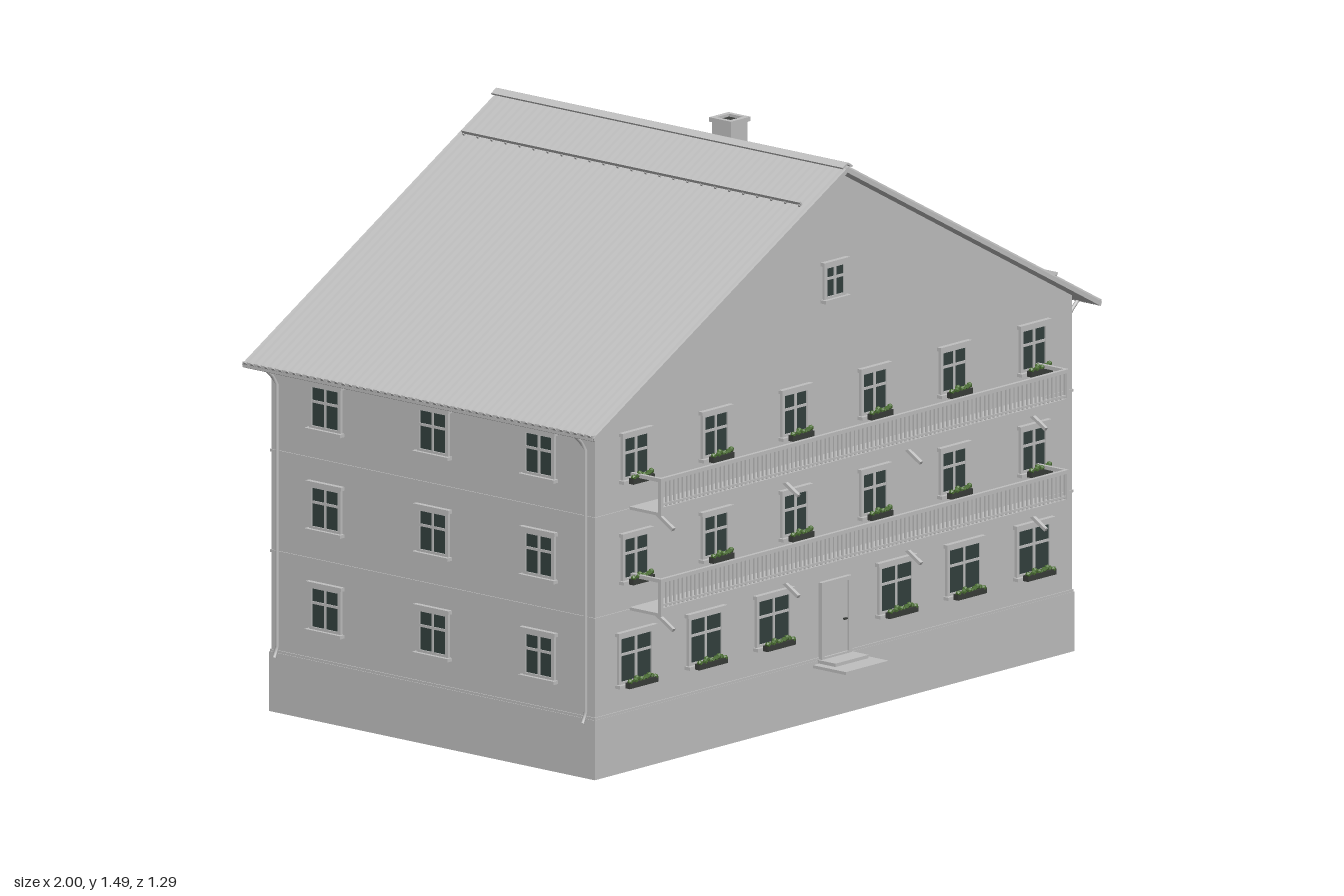
import * as THREE from 'three';

const mat = (name, color, side = THREE.FrontSide) => {
  const m = new THREE.MeshStandardMaterial({ color, side });
  m.name = name;
  return m;
};
const grey = mat('plaster grey', 0xc0c0c0);
const glass = mat('window glass', 0x33413f);
const leaf = mat('leaf green', 0x4c7034);
const dark = mat('dark soot', 0x3a3d3a);

const FRONT = 0.53, BACK = -0.597, SIDE = 0.935, MID = (FRONT + BACK) / 2;
const RIDGE = 1.485, SLOPE = Math.atan(0.545), THICK = 0.018;

function add(parent, name, geo, material, x = 0, y = 0, z = 0) {
  const m = new THREE.Mesh(geo, material);
  m.name = name;
  m.position.set(x, y, z);
  parent.add(m);
  return m;
}
const box = (p, name, w, h, d, x, y, z, material = grey) =>
  add(p, name, new THREE.BoxGeometry(w, h, d), material, x, y, z);

// rectangular ring standing in the xy plane, back at z = 0
function ring(w, h, t, depth) {
  const rect = (T, a, b) => new T([[-a, -b], [a, -b], [a, b], [-a, b]].map(c => new THREE.Vector2(...c)));
  const s = rect(THREE.Shape, w / 2 + t, h / 2 + t);
  s.holes.push(rect(THREE.Path, w / 2, h / 2));
  return new THREE.ExtrudeGeometry(s, { depth, bevelEnabled: false });
}

function rod(p, name, points, r) {
  const path = new THREE.CurvePath();
  const v = points.map(c => new THREE.Vector3(...c));
  for (let i = 1; i < v.length; i++) path.add(new THREE.LineCurve3(v[i - 1], v[i]));
  return add(p, name, new THREE.TubeGeometry(path, 24, r, 8), grey);
}

// planter with small clumps of leaves
function flowerBox(p, w, y) {
  const g = new THREE.Group();
  g.name = 'flowerBox';
  g.position.set(0, y, 0.026);
  p.add(g);
  box(g, 'planter', w, 0.015, 0.016, 0, 0, 0, dark);
  const n = Math.round(w / 0.011);
  for (let i = 0; i < n; i++) {
    const m = add(g, 'leaves', new THREE.IcosahedronGeometry(0.008, 0), leaf,
      -w / 2 + (i + 0.5) * w / n, 0.011 + 0.004 * Math.sin(i * 4.7), 0.004 * Math.cos(i * 2.9));
    m.rotation.set(i, i * 2, 0);
  }
}

// window facing +z, origin at the centre of the glass
function makeWindow(w, h, flowers) {
  const g = new THREE.Group();
  g.name = 'window';
  box(g, 'pane', w, h, 0.004, 0, 0, 0.002, glass);
  add(g, 'frame', ring(w, h, 0.01, 0.008), grey);
  box(g, 'mullion', 0.007, h, 0.004, 0, 0, 0.005);
  box(g, 'transom', w, 0.007, 0.004, 0, h * 0.13, 0.005);
  box(g, 'lintel', w + 0.034, 0.01, 0.014, 0, h / 2 + 0.013, 0.007);
  box(g, 'sill', w + 0.034, 0.009, 0.018, 0, -h / 2 - 0.011, 0.009);
  if (flowers) flowerBox(g, w * 0.95, -h / 2 - 0.008);
  return g;
}

function makeBalcony(y) {
  const g = new THREE.Group();
  g.name = 'balcony';
  g.position.y = y;
  box(g, 'floor', 1.6, 0.008, 0.11, 0, 0.004, 0.585);
  box(g, 'fascia', 1.6, 0.022, 0.008, 0, 0.011, 0.636);
  box(g, 'handrail', 1.6, 0.01, 0.01, 0, 0.095, 0.635);
  box(g, 'lowerRail', 1.6, 0.005, 0.006, 0, 0.029, 0.635);
  for (let i = 0; i <= 96; i++)
    box(g, 'baluster', 0.005, 0.075, 0.005, -0.79 + i * 1.58 / 96, 0.057, 0.635);
  for (const s of [-1, 1]) {
    box(g, 'endPost', 0.01, 0.095, 0.01, s * 0.795, 0.047, 0.635);
    box(g, 'endRail', 0.01, 0.01, 0.105, s * 0.795, 0.095, 0.583);
  }
  for (const x of [-0.73, -0.24, 0.24, 0.73]) {
    const b = box(g, 'strut', 0.01, 0.009, 0.105, x, -0.025, 0.577);
    b.rotation.x = Math.atan2(0.05, 0.085);
  }
  return g;
}

// corrugated slab running down from the ridge along local +x
function makeRoofSide(side, guardAt) {
  const g = new THREE.Group();
  g.name = side > 0 ? 'roofLeft' : 'roofRight';
  g.position.set(0, RIDGE, -0.0325);
  g.rotation.set(0, side > 0 ? 0 : Math.PI, -SLOPE);
  const half = 0.6125, n = 50, p = 2 * half / n, s = new THREE.Shape();
  s.moveTo(half, -THICK);
  for (let i = n - 1; i >= 0; i--) {
    const u = -half + i * p;
    s.lineTo(u + p, -0.006);
    s.lineTo(u + p * 0.7, -0.006);
    s.lineTo(u + p * 0.6, 0);
    s.lineTo(u + p * 0.3, 0);
    s.lineTo(u + p * 0.2, -0.006);
  }
  s.lineTo(-half, -0.006);
  s.lineTo(-half, -THICK);
  const geo = new THREE.ExtrudeGeometry(s, { depth: 1 / Math.cos(SLOPE), bevelEnabled: false });
  geo.rotateY(Math.PI / 2);
  add(g, 'roofSheet', geo, grey);
  // snow guard with its feet
  const gx = guardAt / Math.cos(SLOPE);
  box(g, 'snowGuard', 0.005, 0.009, 1.18, gx, 0.008, 0);
  for (let i = 0; i < 25; i++) box(g, 'guardFoot', 0.01, 0.006, 0.006, gx, 0.002, -0.585 + i * 1.17 / 24);
  return g;
}

export function createModel() {
  const model = new THREE.Group();
  model.name = 'house';

  // plinth and gabled walls
  box(model, 'plinth', 1.88, 0.16, 1.135, 0, 0.08, MID);
  const drop = THICK / Math.cos(SLOPE);
  const eave = RIDGE - SIDE * 0.545 - drop;
  const shape = new THREE.Shape([[-SIDE, 0.16], [SIDE, 0.16], [SIDE, eave], [0, RIDGE - drop], [-SIDE, eave]]
    .map(c => new THREE.Vector2(...c)));
  add(model, 'walls', new THREE.ExtrudeGeometry(shape, { depth: FRONT - BACK, bevelEnabled: false }),
    grey, 0, 0, BACK);
  for (const y of [0.163, 0.43, 0.7])
    box(model, 'floorBand', 2 * SIDE + 0.006, 0.007, FRONT - BACK + 0.006, 0, y, MID);

  // windows
  const place = (win, x, y, z, turn = 0) => {
    win.position.set(x, y, z);
    win.rotation.y = turn;
    model.add(win);
  };
  const upper = [0.843, 0.573];
  for (const s of [-1, 1]) {
    for (const x of [0.155, 0.467, 0.78])
      for (const y of upper) {
        place(makeWindow(0.088, 0.103, true), s * x, y, FRONT);
        place(makeWindow(0.088, 0.103, false), s * x, y, BACK, Math.PI);
      }
    for (const x of [0.24, 0.507, 0.78])
      place(makeWindow(0.118, 0.115, true), s * x, 0.303, FRONT);
    for (const z of [0.34, -0.03, -0.405])
      for (const y of [...upper, 0.303])
        place(makeWindow(0.09, 0.103, false), s * SIDE, y, z, s * Math.PI / 2);
  }
  place(makeWindow(0.066, 0.076, false), 0, 1.168, FRONT);

  // entrance door and steps
  add(model, 'doorFrame', ring(0.096, 0.19, 0.011, 0.012), grey, 0, 0.262, FRONT);
  box(model, 'door', 0.096, 0.19, 0.006, 0, 0.262, FRONT + 0.003);
  box(model, 'doorHandle', 0.012, 0.004, 0.008, 0.036, 0.255, FRONT + 0.009, dark);
  box(model, 'upperStep', 0.13, 0.009, 0.065, 0, 0.157, 0.5625);
  box(model, 'lowerStep', 0.168, 0.008, 0.12, 0, 0.147, 0.588);

  for (const y of [0.7, 0.43]) model.add(makeBalcony(y));

  // roof, ridge cap, gutters and downpipes
  model.add(makeRoofSide(1, 0.842), makeRoofSide(-1, 0.155));
  for (const s of [-1, 1]) {
    const cap = box(model, 'ridgeCap', 0.022, 0.005, 1.225, s * 0.0095, RIDGE - 0.001, -0.0325);
    cap.rotation.z = -s * SLOPE;
    box(model, 'gutter', 0.012, 0.014, 1.22, s * 0.991, 0.934, -0.0325);
    for (const z of [0.505, -0.57])
      rod(model, 'downpipe', [[s * 0.988, 0.93, z], [s * 0.943, 0.89, z], [s * 0.943, 0.165, z], [s * 0.955, 0.15, z]], 0.005);
  }

  // chimney
  const chimney = new THREE.Group();
  chimney.name = 'chimney';
  chimney.position.set(0.417, 0, -0.202);
  model.add(chimney);
  box(chimney, 'stack', 0.066, 0.22, 0.066, 0, 1.29, 0);
  const rim = add(chimney, 'chimneyRim', ring(0.048, 0.048, 0.014, 0.012), grey, 0, 1.397, 0);
  rim.rotation.x = -Math.PI / 2;
  box(chimney, 'flue', 0.048, 0.003, 0.048, 0, 1.4, 0, dark);

  return model;
}
